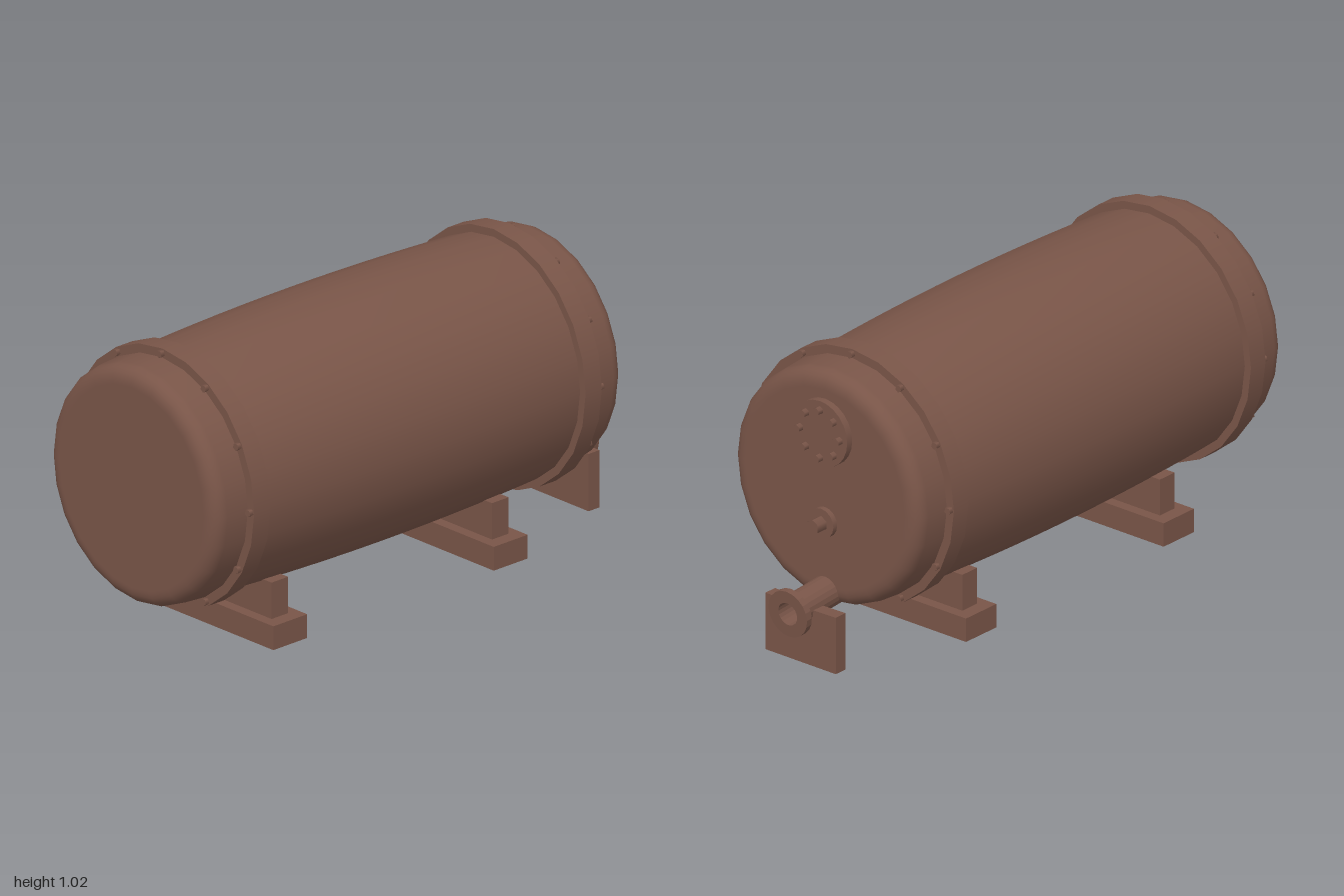
import * as THREE from 'three';

export function createModel() {
  const model = new THREE.Group();
  model.name = 'storageTank';
  const brown = new THREE.MeshStandardMaterial({ color: 0x795548, side: THREE.DoubleSide });
  brown.name = 'rustBrown';

  const add = (parent, name, geometry, x = 0, y = 0, z = 0) => {
    const mesh = new THREE.Mesh(geometry, brown);
    mesh.name = name;
    mesh.position.set(x, y, z);
    parent.add(mesh);
    return mesh;
  };
  // Cylinder lying along z
  const disc = (r, depth, sides) => new THREE.CylinderGeometry(r, r, depth, sides).rotateX(Math.PI / 2);
  const box = (w, h, d) => new THREE.BoxGeometry(w, h, d);

  // Shell: slightly taller than wide, bulging barrel with rounded ends
  const shell = new THREE.Group();
  shell.name = 'shell';
  shell.position.y = 0.573;
  shell.scale.y = 1.032;
  model.add(shell);

  const mid = 0.095, half = 0.905, fillet = 0.05, endRadius = 0.398;
  const right = [];
  for (let i = 0; i <= 8; i++) {
    const t = i / 8;
    right.push(new THREE.Vector2(0.425 - (0.425 - endRadius) * t * t, t * (half - fillet)));
  }
  for (let i = 1; i <= 5; i++) {
    const a = (i / 5) * Math.PI / 2;
    right.push(new THREE.Vector2(endRadius - fillet * (1 - Math.cos(a)), half - fillet + fillet * Math.sin(a)));
  }
  right.push(new THREE.Vector2(endRadius - fillet - 0.01, half), new THREE.Vector2(0, half));
  const left = right.slice(1).reverse().map(p => new THREE.Vector2(p.x, -p.y));
  add(shell, 'barrel', new THREE.LatheGeometry([...left, ...right], 24).rotateX(Math.PI / 2), 0, 0, mid);

  // Clamp bands with bolts on their outward faces
  for (const side of [1, -1]) {
    const z = mid + side * 0.7345;
    add(shell, 'band', disc(0.433, 0.072, 24), 0, 0, z);
    for (let i = 0; i < 12; i++) {
      const a = i * Math.PI / 6;
      add(shell, 'bandBolt', disc(0.013, 0.03, 5),
        0.417 * Math.sin(a), 0.417 * Math.cos(a), z + side * 0.036);
    }
  }

  // Saddles: upright on a hollow base that is open underneath
  for (const z of [0.585, -0.392]) {
    add(model, 'saddleUpright', box(0.512, 0.127, 0.073), 0, 0.1465, z);
    const base = box(0.61, 0.083, 0.15);
    const index = Array.from(base.index.array);
    index.splice(18, 6); // drop the bottom face
    base.setIndex(index);
    add(model, 'saddleBase', base, 0, 0.0415, z);
  }

  // Manhole cover with a ring of bolts
  add(model, 'manholeCover', disc(0.116, 0.03, 24), 0, 0.775, -0.82);
  for (let i = 0; i < 8; i++) {
    const a = i * Math.PI / 4;
    add(model, 'manholeBolt', disc(0.014, 0.03, 6),
      0.084 * Math.sin(a), 0.775 + 0.084 * Math.cos(a), -0.841);
  }

  // Small plug
  add(model, 'plugPlate', disc(0.052, 0.02, 16), 0, 0.455, -0.819);
  add(model, 'plugStub', disc(0.026, 0.05, 6), 0, 0.455, -0.847);

  // Hollow drain pipe, sloping down to a flanged mouth
  const pipeProfile = [[0.04, 0.02], [0.04, 0.25], [0.082, 0.25], [0.082, 0.226],
    [0.055, 0.226], [0.055, 0]].map(([r, y]) => new THREE.Vector2(r, y));
  const pipeGeometry = new THREE.LatheGeometry(pipeProfile.reverse(), 20).toNonIndexed();
  pipeGeometry.computeVertexNormals();
  const pipe = add(model, 'drainPipe', pipeGeometry, 0, 0.21, -0.745);
  pipe.rotation.x = -Math.PI / 2 - 0.08;
  const plug = add(model, 'pipeInnerEnd', new THREE.CircleGeometry(0.045, 20), 0, 0.205, -0.82);
  plug.rotation.y = Math.PI;

  // Plate holding the pipe
  add(model, 'pipeSupport', box(0.3, 0.2, 0.048), 0, 0.1, -0.907);

  // The pipe support does not block the bore
  const support = model.getObjectByName('pipeSupport');
  const outline = new THREE.Shape();
  outline.moveTo(-0.15, 0);
  outline.lineTo(0.15, 0);
  outline.lineTo(0.15, 0.2);
  outline.lineTo(0.05, 0.2);
  outline.absarc(0, 0.198, 0.05, 0, Math.PI, true);
  outline.lineTo(-0.15, 0.2);
  outline.closePath();
  support.geometry = new THREE.ExtrudeGeometry(outline, { depth: 0.048, bevelEnabled: false, curveSegments: 10 });
  support.position.set(0, 0, -0.931);

  return model;
}
